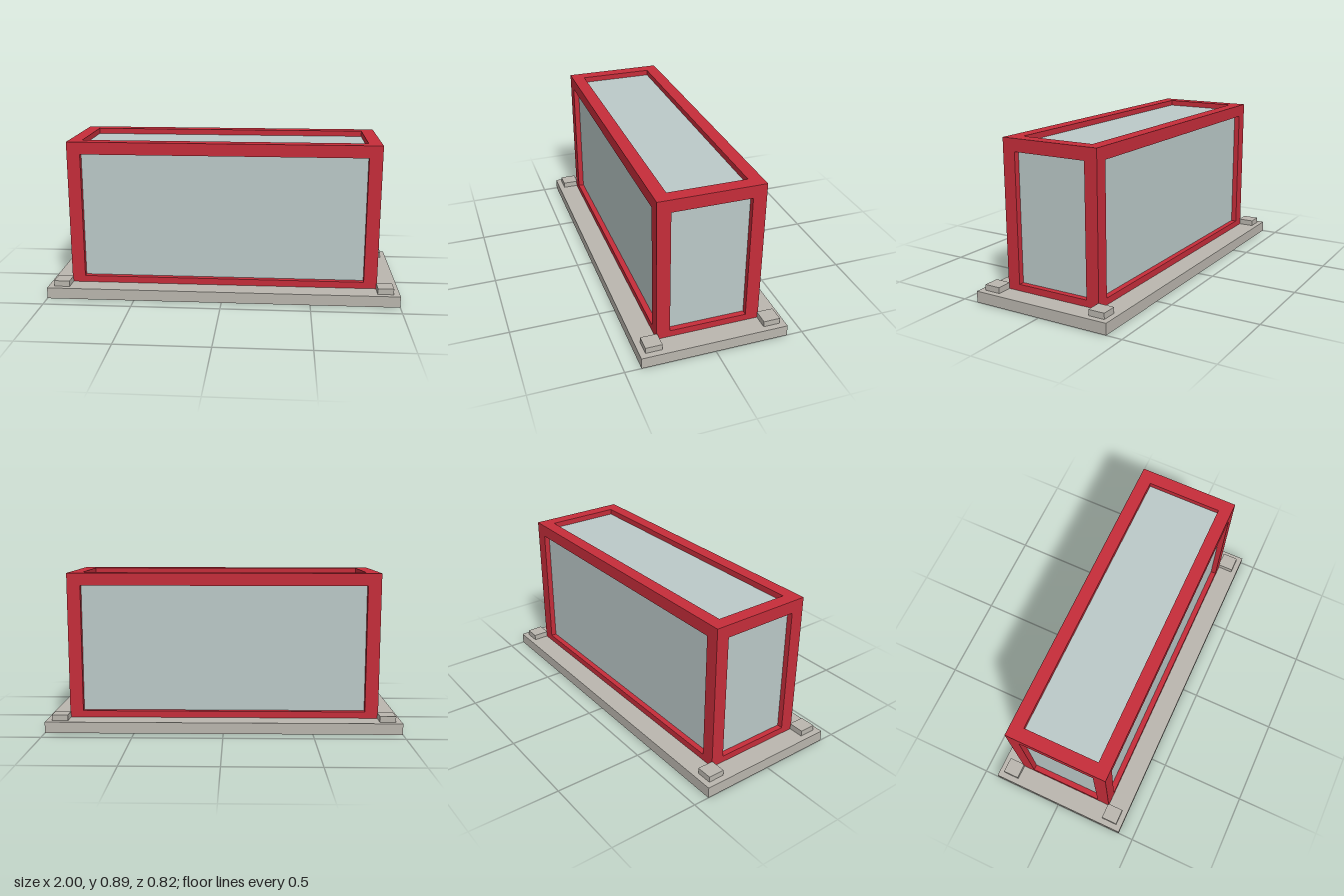
import * as THREE from 'three';

export function createModel() {
  const model = new THREE.Group();
  const red = new THREE.MeshStandardMaterial({ name: 'red frame', color: 0xc62d3a });
  const glass = new THREE.MeshStandardMaterial({ name: 'pale glass', color: 0xbbc9c8 });
  const stone = new THREE.MeshStandardMaterial({ name: 'stone grey', color: 0xbab6ae });

  // box given by its lower and upper corners
  function box(name, material, min, max) {
    const size = max.map((v, i) => v - min[i]);
    const mesh = new THREE.Mesh(new THREE.BoxGeometry(...size), material);
    mesh.position.set(...max.map((v, i) => (v + min[i]) / 2));
    mesh.name = name;
    model.add(mesh);
  }

  const baseTop = 0.063, X = 0.88, Z = 0.289, top = 0.888; // frame outside
  const x = 0.805, z = 0.215, low = 0.1, high = 0.818;     // frame openings
  const recess = 0.032, pane = 0.008;

  box('base', stone, [-1, 0, -0.41], [1, baseTop, 0.41]);

  // mirrored span between two distances from the centre
  const span = (side, a, b) => (side > 0 ? [a, b] : [-b, -a]);

  for (const sx of [-1, 1]) {
    const [x0, x1] = span(sx, x, X);
    for (const sz of [-1, 1]) {
      // corner posts and corner blocks on the base
      const [z0, z1] = span(sz, z, Z);
      box('cornerPost', red, [x0, baseTop, z0], [x1, top, z1]);
      const [bx0, bx1] = span(sx, 0.876, 0.966);
      const [bz0, bz1] = span(sz, 0.285, 0.378);
      box('cornerBlock', stone, [bx0, baseTop, bz0], [bx1, 0.096, bz1]);
    }
    // end rails and end pane
    box('endBottomRail', red, [x0, baseTop, -z], [x1, low, z]);
    box('endTopRail', red, [x0, high, -z], [x1, top, z]);
    const [p0, p1] = span(sx, X - recess - pane, X - recess);
    box('endPane', glass, [p0, low, -z], [p1, high, z]);
  }

  for (const sz of [-1, 1]) {
    // long rails and long pane
    const [z0, z1] = span(sz, z, Z);
    box('longBottomRail', red, [-x, baseTop, z0], [x, low, z1]);
    box('longTopRail', red, [-x, high, z0], [x, top, z1]);
    const [p0, p1] = span(sz, Z - recess - pane, Z - recess);
    box('longPane', glass, [-x, low, p0], [x, high, p1]);
  }

  box('roofPane', glass, [-x, top - recess - pane, -z], [x, top - recess, z]);
  return model;
}
